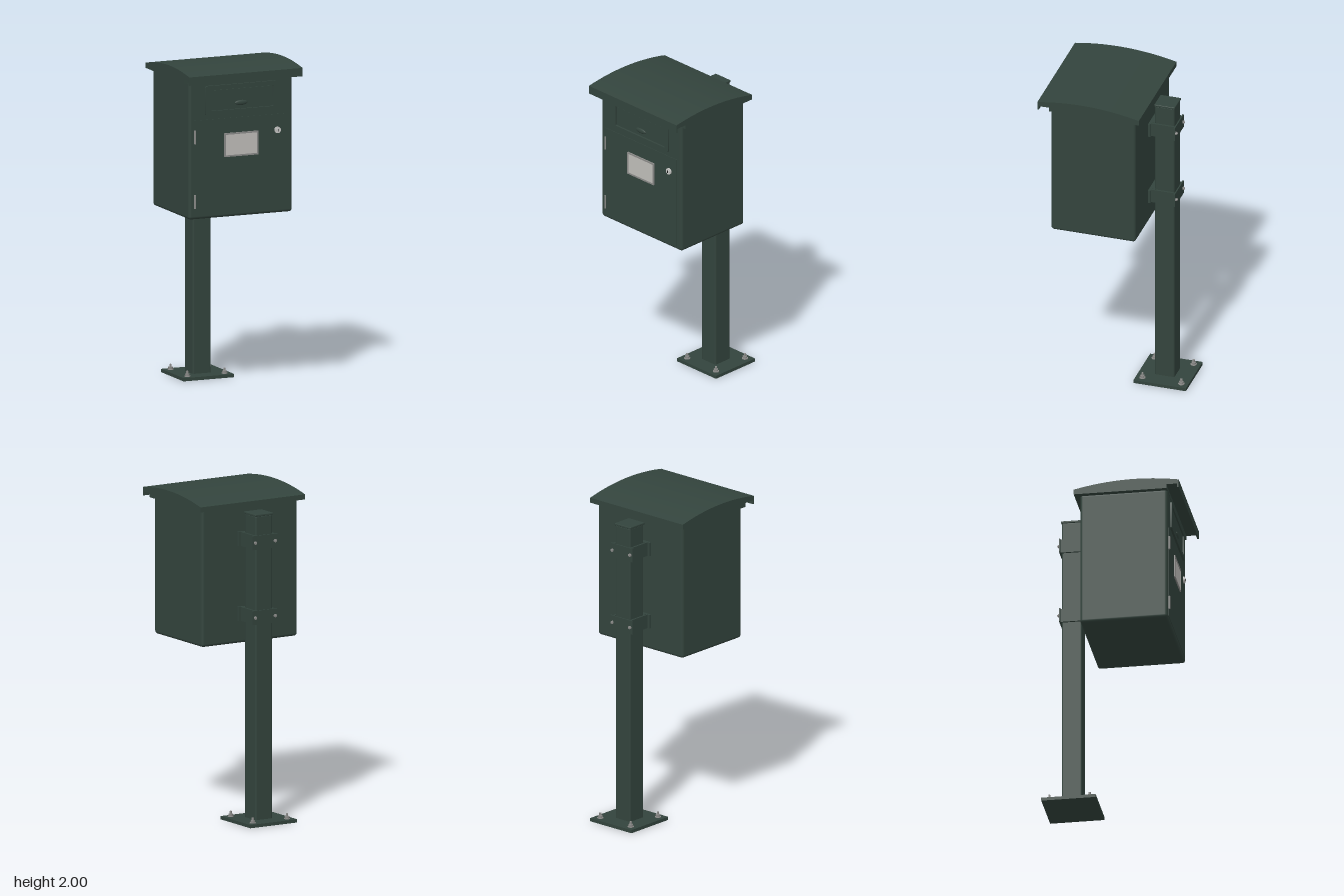
import * as THREE from 'three';
import { toCreasedNormals } from 'three/addons/utils/BufferGeometryUtils.js';
import { RoundedBoxGeometry } from 'three/addons/geometries/RoundedBoxGeometry.js';

const mat = (name, color) => Object.assign(new THREE.MeshStandardMaterial({ color }), { name });

export function createModel() {
  const green = mat('dark green paint', 0x33443d);
  const steel = mat('steel', 0x8c8c8a);
  const silver = mat('bright lock metal', 0xc8c8c6);
  const label = mat('label card', 0xc0beba);
  const black = mat('keyhole black', 0x161817);

  const root = new THREE.Group();
  root.name = 'postMountedMailbox';

  const add = (name, geometry, material, x = 0, y = 0, z = 0, parent = root) => {
    const mesh = new THREE.Mesh(geometry, material);
    mesh.name = name;
    mesh.position.set(x, y, z);
    parent.add(mesh);
    return mesh;
  };
  const box = (w, h, d) => new THREE.BoxGeometry(w, h, d);
  const rounded = (w, h, d, r) => new RoundedBoxGeometry(w, h, d, 4, r);
  // disc or nut whose axis points along z
  const discZ = (r, d, sides = 24) => new THREE.CylinderGeometry(r, r, d, sides).rotateX(Math.PI / 2);

  const roundRect = (Type, w, h, r) => {
    const s = new Type();
    const x = w / 2, y = h / 2;
    s.moveTo(-x + r, -y);
    s.lineTo(x - r, -y); s.quadraticCurveTo(x, -y, x, -y + r);
    s.lineTo(x, y - r); s.quadraticCurveTo(x, y, x - r, y);
    s.lineTo(-x + r, y); s.quadraticCurveTo(-x, y, -x, y - r);
    s.lineTo(-x, -y + r); s.quadraticCurveTo(-x, -y, -x + r, -y);
    return s;
  };
  const frame = (w, h, r, iw, ih, ir, depth) => {
    const s = roundRect(THREE.Shape, w, h, r);
    s.holes.push(roundRect(THREE.Path, iw, ih, ir));
    return toCreasedNormals(new THREE.ExtrudeGeometry(s, { depth, bevelEnabled: false, curveSegments: 6 }), 0.6);
  };

  // Box body
  add('body', rounded(0.686, 0.85, 0.534, 0.018), green, 0, 1.51, 0.095);

  // Arched roof with a folded front lip, drawn in profile and extruded sideways
  const profile = new THREE.Shape();
  profile.moveTo(-0.205, 1.925);
  profile.lineTo(0.362, 1.925);
  profile.lineTo(0.362, 1.95);
  profile.lineTo(0.428, 1.95);
  profile.lineTo(0.428, 1.925);
  profile.lineTo(0.437, 1.925);
  for (let i = 0; i <= 28; i++) {
    const z = 0.437 - (0.642 * i) / 28;
    profile.lineTo(z, 2 - 0.32 * (z - 0.165) ** 2);
  }
  const roof = new THREE.ExtrudeGeometry(profile, { depth: 0.75, bevelEnabled: false });
  roof.rotateY(-Math.PI / 2).translate(0.375, 0, 0);
  add('roof', toCreasedNormals(roof, 0.5), green);

  // Letter slot: raised frame, flap and oval pull
  add('slotFrame', frame(0.474, 0.18, 0.015, 0.42, 0.13, 0.006, 0.012), green, 0, 1.81, 0.362);
  add('slotFlap', box(0.405, 0.115, 0.006), green, 0, 1.812, 0.364);
  const pull = add('flapPull', new THREE.SphereGeometry(1, 24, 12), green, 0, 1.782, 0.367);
  pull.scale.set(0.042, 0.016, 0.009);

  // Door with its hinges, label window and lock
  add('door', box(0.612, 0.585, 0.006), green, -0.004, 1.4, 0.362);
  for (const y of [1.592, 1.195]) {
    add('hinge', new THREE.CylinderGeometry(0.006, 0.006, 0.084, 12), steel, -0.305, y, 0.368);
  }
  add('labelFrame', frame(0.228, 0.146, 0.004, 0.206, 0.126, 0.003, 0.008), steel, 0, 1.528, 0.364);
  add('labelCard', box(0.208, 0.128, 0.004), label, 0, 1.528, 0.367);
  add('lockRim', discZ(0.02, 0.01), silver, 0.24, 1.595, 0.369);
  add('lockCore', discZ(0.012, 0.006), silver, 0.24, 1.595, 0.375);
  add('keyhole', box(0.005, 0.014, 0.002), black, 0.24, 1.595, 0.3785);

  // Post, cap and base plate
  add('post', rounded(0.12, 1.88, 0.124, 0.01), green, 0, 0.95, -0.268);
  add('postCap', rounded(0.128, 0.014, 0.13, 0.004), green, 0, 1.892, -0.268);
  add('basePlate', box(0.334, 0.02, 0.332), green, 0, 0.01, -0.271);

  // Anchor bolts at the corners of the base plate
  for (const x of [-0.123, 0.123]) {
    for (const z of [-0.394, -0.148]) {
      const bolt = new THREE.Group();
      bolt.name = 'anchorBolt';
      bolt.position.set(x, 0.02, z);
      root.add(bolt);
      add('washer', new THREE.CylinderGeometry(0.019, 0.019, 0.004, 20), steel, 0, 0.002, 0, bolt);
      add('nut', new THREE.CylinderGeometry(0.014, 0.014, 0.013, 6), steel, 0, 0.0105, 0, bolt);
      add('stud', new THREE.CylinderGeometry(0.007, 0.007, 0.034, 12), steel, 0, 0.017, 0, bolt);
    }
  }

  // Clamps that hold the box to the post
  for (const y of [1.728, 1.267]) {
    const clamp = new THREE.Group();
    clamp.name = 'clamp';
    clamp.position.y = y;
    root.add(clamp);
    add('rearStrap', box(0.18, 0.086, 0.008), green, 0, 0, -0.338, clamp);
    add('boxFlange', box(0.18, 0.086, 0.016), green, 0, 0, -0.18, clamp);
    add('bridge', box(0.12, 0.086, 0.022), green, 0, 0, -0.197, clamp);
    for (const side of [-1, 1]) {
      add('sideStrap', box(0.012, 0.086, 0.15), green, side * 0.069, 0, -0.26, clamp);
      add('clampNut', discZ(0.011, 0.008, 6), steel, side * 0.071, 0, -0.345, clamp);
      add('clampStud', discZ(0.006, 0.014, 12), steel, side * 0.071, 0, -0.347, clamp);
    }
  }

  return root;
}
